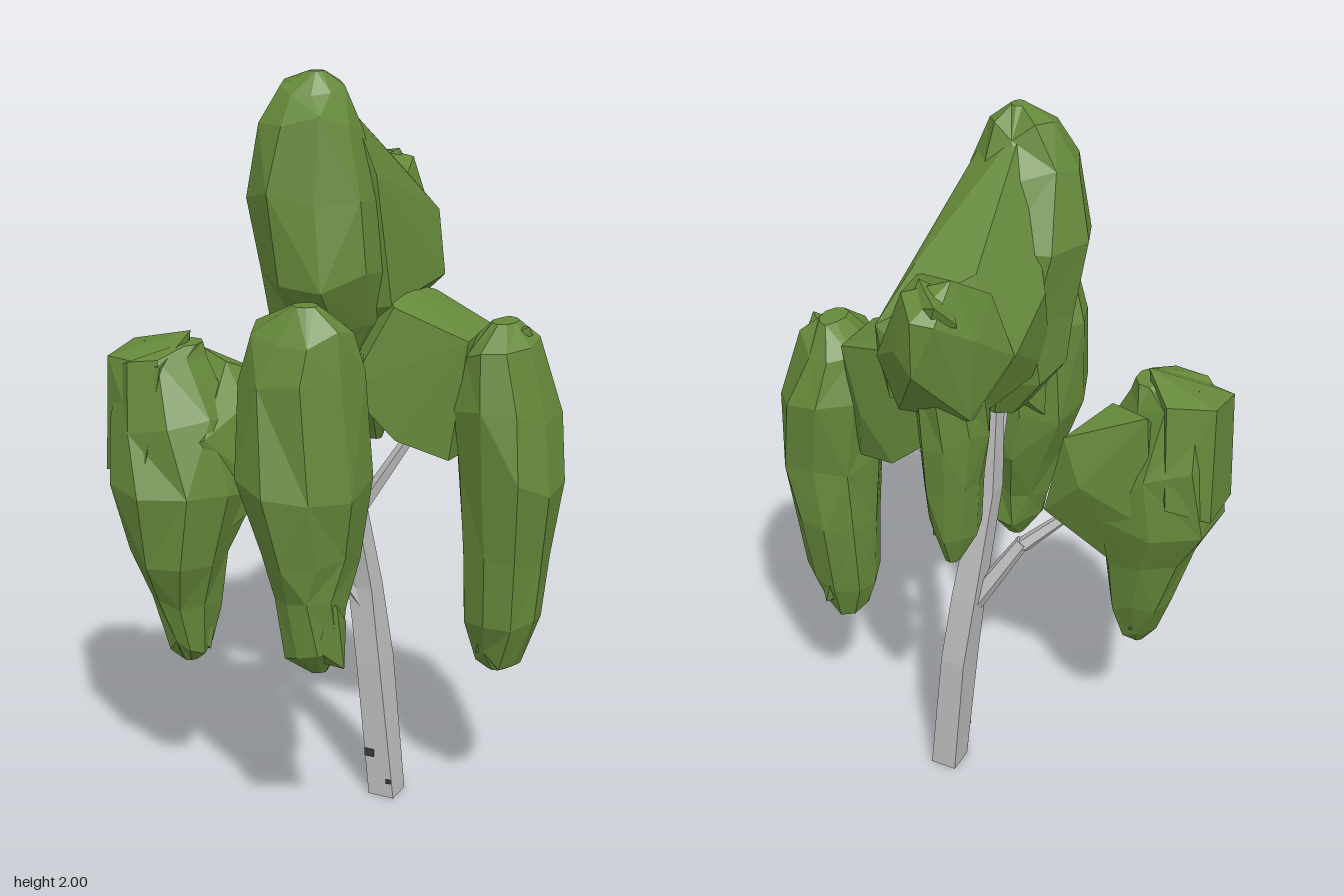
import * as THREE from 'three';
import { ConvexGeometry } from 'three/addons/geometries/ConvexGeometry.js';

const mat = (name, color) => {
  const m = new THREE.MeshStandardMaterial({ color });
  m.name = name;
  return m;
};

// small seeded random, -1..1
let seed = 7;
const rand = () => {
  seed = (seed * 16807) % 2147483647;
  return (seed / 2147483647) * 2 - 1;
};

// faceted loft through level loops, top to bottom: [y, x0, x1, z0, z1]
function loft(rings, sides, rough = 0) {
  const reach = 1 / Math.cos(Math.PI / sides);
  const loops = [...rings].reverse().map(([y, x0, x1, z0, z1], i, all) => {
    const end = i === 0 || i === all.length - 1;
    const turn = rand() * rough;
    return Array.from({ length: sides }, (_, j) => {
      const a = ((j + 0.5) / sides) * Math.PI * 2 + turn;
      const k = reach * (1 + rough * (rand() * 0.6 - 0.2));
      return new THREE.Vector3(
        (x0 + x1) / 2 + (Math.cos(a) * k * (x1 - x0)) / 2,
        y + (end ? 0 : rough * rand() * 0.2),
        (z0 + z1) / 2 + (Math.sin(a) * k * (z1 - z0)) / 2
      );
    });
  });
  const tris = [];
  const mid = (loop) => loop.reduce((s, p) => s.add(p), new THREE.Vector3()).divideScalar(sides);
  const last = loops.length - 1;
  const low = mid(loops[0]);
  const high = mid(loops[last]);
  for (let j = 0; j < sides; j++) {
    const n = (j + 1) % sides;
    for (let i = 0; i < last; i++) {
      const [a, b, c, d] = [loops[i][j], loops[i + 1][j], loops[i + 1][n], loops[i][n]];
      if ((i + j) % 2) tris.push(a, b, c, a, c, d);
      else tris.push(a, b, d, b, c, d);
    }
    tris.push(low, loops[0][j], loops[0][n], high, loops[last][n], loops[last][j]);
  }
  const g = new THREE.BufferGeometry().setFromPoints(tris);
  g.computeVertexNormals();
  return g;
}

const hull = (pts) => new ConvexGeometry(pts.map((p) => new THREE.Vector3(...p)));

export function createModel() {
  const tree = new THREE.Group();
  tree.name = 'tree';
  const leaf = mat('leaf green', 0x65893a);
  const bark = mat('pale bark', 0xbebebe);
  const dark = mat('dark bark mark', 0x3a3a3a);
  const add = (name, geometry, material) => {
    const m = new THREE.Mesh(geometry, material);
    m.name = name;
    tree.add(m);
    return m;
  };

  // leaning four-sided trunk
  add('trunk', loft([
    [1.3, -0.025, 0.02, -0.02, 0.02],
    [0.95, -0.025, 0.03, -0.05, 0.01],
    [0.62, 0.005, 0.075, -0.1, -0.03],
    [0.4, 0.03, 0.1, -0.122, -0.03],
    [0, 0.065, 0.14, -0.118, -0.04],
  ], 4), bark);

  // tapering branches
  const limb = (name, a, b, r0, r1) => {
    const from = new THREE.Vector3(...a);
    const dir = new THREE.Vector3(...b).sub(from);
    const g = new THREE.CylinderGeometry(r1, r0, dir.length(), 5).toNonIndexed();
    g.computeVertexNormals();
    const m = add(name, g, bark);
    m.position.copy(from).addScaledVector(dir, 0.5);
    m.quaternion.setFromUnitVectors(new THREE.Vector3(0, 1, 0), dir.normalize());
  };
  limb('rightSideBranch', [0.04, 0.57, -0.06], [-0.09, 0.79, 0], 0.03, 0.021);
  limb('rightSideTwig', [-0.09, 0.78, 0], [-0.24, 0.92, 0.07], 0.022, 0.013);
  limb('leftSideBranch', [0.02, 0.82, -0.04], [0.22, 1.14, -0.08], 0.022, 0.013);
  limb('frontBranch', [0.01, 0.85, -0.03], [0.04, 1.24, 0.16], 0.026, 0.02);

  // thin dark bark marks
  [[0.068, 0.13, 0.028, 0.022], [0.125, 0.05, 0.014, 0.012]].forEach(([x, y, w, h]) => {
    add('barkMark', new THREE.BoxGeometry(w, h, 0.006), dark).position.set(x, y, -0.0395 + y * 0.025);
  });

  // hanging foliage columns
  const columns = {
    rightFoliage: [
      [1.3, -0.42, -0.34, 0.1, 0.2], [1.25, -0.56, -0.33, 0.05, 0.27], [1.1, -0.58, -0.24, 0.01, 0.33],
      [0.92, -0.58, -0.2, 0.01, 0.37], [0.75, -0.51, -0.25, 0.06, 0.34], [0.6, -0.46, -0.29, 0.08, 0.29],
      [0.48, -0.41, -0.31, 0.13, 0.26], [0.43, -0.38, -0.34, 0.17, 0.22],
    ],
    frontFoliage: [
      [1.49, 0.06, 0.12, 0.35, 0.41], [1.41, -0.05, 0.18, 0.24, 0.46], [1.3, -0.1, 0.2, 0.2, 0.48],
      [1.04, -0.1, 0.22, 0.19, 0.52], [0.86, -0.03, 0.2, 0.22, 0.48], [0.74, 0.01, 0.17, 0.27, 0.46],
      [0.62, 0.03, 0.17, 0.28, 0.44], [0.55, 0.08, 0.13, 0.33, 0.38],
    ],
    leftFoliage: [
      [1.39, 0.39, 0.45, -0.13, -0.03], [1.33, 0.32, 0.5, -0.18, 0.05], [1.17, 0.3, 0.56, -0.22, 0.07],
      [0.98, 0.31, 0.585, -0.21, 0.06], [0.78, 0.33, 0.54, -0.2, 0.03], [0.58, 0.33, 0.53, -0.17, 0.01],
      [0.48, 0.36, 0.48, -0.13, -0.03], [0.44, 0.4, 0.44, -0.1, -0.06],
    ],
    topFoliage: [
      [2.0, -0.06, -0.02, 0.04, 0.08], [1.96, -0.13, 0.02, -0.02, 0.13], [1.88, -0.2, 0.07, -0.06, 0.17],
      [1.7, -0.235, 0.11, -0.13, 0.2], [1.5, -0.2, 0.13, -0.15, 0.21], [1.35, -0.19, 0.1, -0.12, 0.12],
      [1.23, -0.1, 0.03, -0.08, 0.05],
    ],
    backFoliage: [
      [1.45, -0.15, 0.03, -0.42, -0.24], [1.32, -0.14, 0.02, -0.42, -0.22], [1.18, -0.13, 0.01, -0.41, -0.24],
      [1.03, -0.12, 0, -0.39, -0.26], [0.95, -0.08, -0.04, -0.36, -0.32],
    ],
  };
  for (const [name, rings] of Object.entries(columns)) add(name, loft(rings, 9, 0.13), leaf);

  // leafy masses joining the columns to the crown
  add('rightFoliageInner', hull([
    [-0.42, 1.26, 0.02], [-0.3, 1.24, 0.08], [-0.22, 1.18, -0.04], [-0.22, 1.14, 0.12], [-0.16, 0.93, -0.02],
    [-0.16, 0.9, 0.1], [-0.25, 0.84, 0.03], [-0.24, 0.86, 0.17], [-0.44, 0.92, 0.03], [-0.4, 1, 0.3],
    [-0.26, 1.08, 0.27], [-0.27, 1.05, -0.05], [-0.37, 0.7, 0.1], [-0.33, 0.72, 0.25],
  ]), leaf);
  add('rightFoliageShoulder', hull([
    [-0.57, 1.28, 0.1], [-0.57, 1.26, 0.23], [-0.46, 1.29, 0.04], [-0.37, 1.33, 0.14], [-0.38, 1.26, 0.28],
    [-0.58, 0.95, 0.09], [-0.58, 0.95, 0.24], [-0.4, 1, 0.34], [-0.48, 1, 0.02],
  ]), leaf);
  add('frontFoliageInner', hull([
    [0.08, 1.3, 0.11], [0.03, 1.18, 0.13], [0.11, 1.17, 0.14], [0.18, 1.35, 0.25], [-0.05, 1.33, 0.23],
    [0.17, 1.05, 0.24], [-0.04, 1.05, 0.23], [0.07, 1.42, 0.3],
  ]), leaf);
  add('leftFoliageInner', hull([
    [0.08, 1.47, -0.08], [0.17, 1.42, -0.22], [0.16, 1.42, 0.03], [0.35, 1.36, -0.16], [0.36, 1.35, 0.02],
    [0.32, 1.03, -0.14], [0.32, 1.04, 0.04], [0.2, 1.06, -0.18], [0.18, 1.08, 0.06], [0.06, 1.18, -0.18],
    [0.05, 1.2, 0.07], [0.28, 1.2, -0.2], [0.02, 1.35, -0.15],
  ]), leaf);
  add('topFoliageSlope', hull([
    [-0.07, 1.97, 0.02], [0.04, 1.9, 0.02], [-0.1, 1.72, -0.28], [0.06, 1.71, -0.28], [0.1, 1.6, -0.4],
    [-0.2, 1.62, -0.12], [-0.19, 1.52, -0.25], [0.17, 1.45, -0.28], [0.15, 1.42, 0.02], [-0.13, 1.38, -0.37],
    [0.08, 1.4, -0.38], [0, 1.25, -0.08], [-0.16, 1.36, 0], [0.11, 1.75, 0.03],
  ]), leaf);
  add('topFoliageBack', hull([
    [-0.14, 1.68, -0.28], [0.05, 1.69, -0.28], [-0.1, 1.76, -0.4], [0, 1.73, -0.45], [-0.16, 1.62, -0.4],
    [-0.11, 1.69, -0.5], [-0.06, 1.7, -0.52], [-0.06, 1.56, -0.52], [0, 1.6, -0.49], [-0.02, 1.5, -0.45],
    [0.1, 1.52, -0.4], [-0.14, 1.4, -0.39], [0.05, 1.38, -0.39], [-0.19, 1.52, -0.26],
  ]), leaf);

  // small ragged leaf tufts on the column tops and tips
  [
    [-0.53, 1.23, 0.14, 0.05], [-0.37, 0.55, 0.19, 0.07], [0.05, 1.41, 0.32, 0.06], [0.11, 0.66, 0.37, 0.07],
    [0.37, 1.3, -0.06, 0.05], [0.44, 1.32, -0.09, 0.05], [0.43, 0.57, -0.09, 0.08], [-0.14, 1.86, 0.08, 0.05],
    [-0.06, 1.06, -0.32, 0.06], [-0.08, 1.68, -0.44, 0.06],
  ].forEach(([x, y, z, r]) => {
    const tuft = Array.from({ length: 9 }, (_, i) => [
      x + Math.cos(i * 2.4) * r * (0.9 + 0.3 * rand()),
      y + ((i - 4) / 4) * r * 1.25,
      z + Math.sin(i * 2.4) * r * (0.9 + 0.3 * rand()),
    ]);
    add('leafTuft', hull(tuft), leaf);
  });

  return tree;
}
